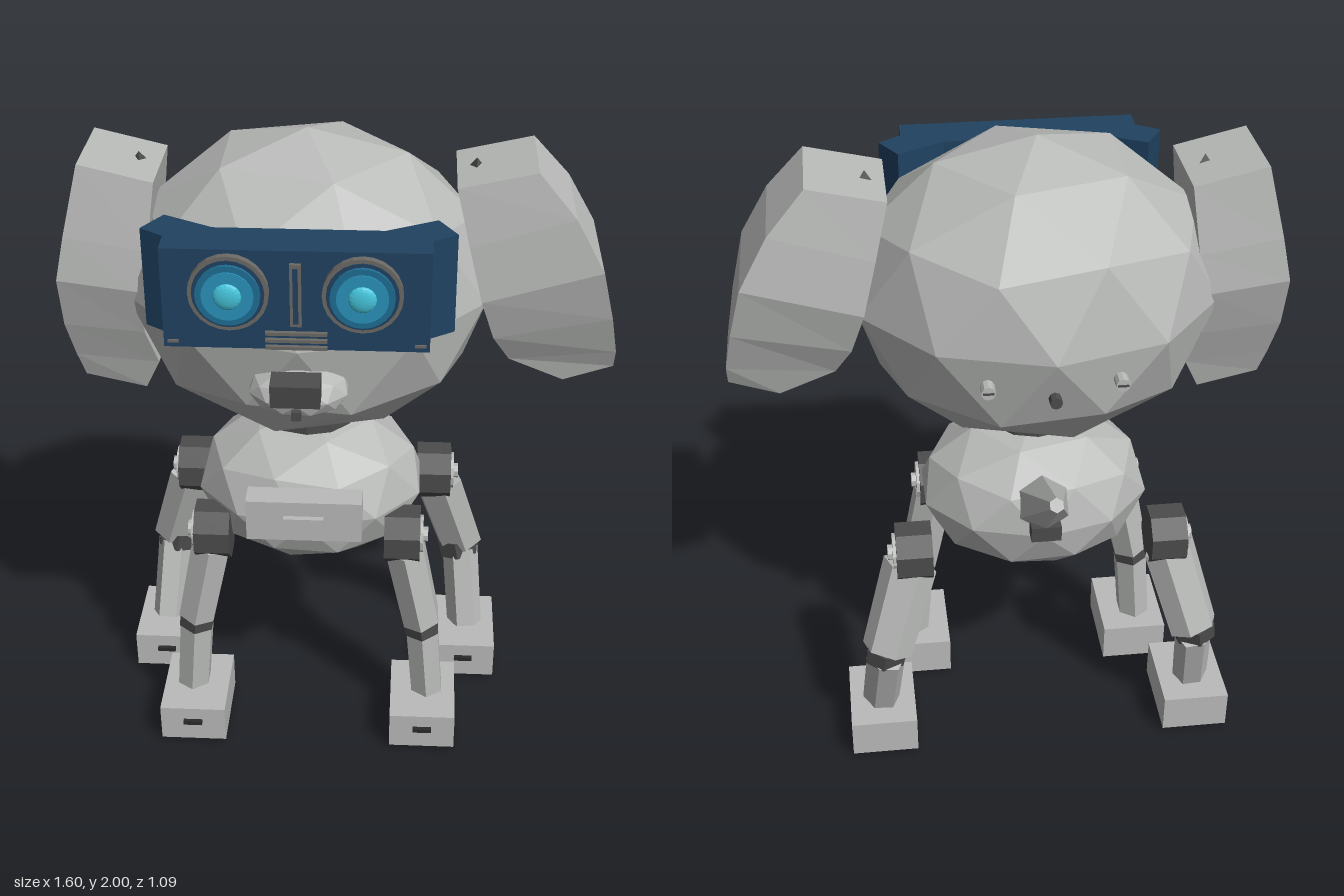
import * as THREE from 'three';

const mat = (name, color) => new THREE.MeshStandardMaterial({ name, color, flatShading: true });
const CX = -0.1; // the body sits a little to the right of the origin

export function createModel() {
  const shell = mat('light grey shell', 0xb9bbb9);
  const dark = mat('dark grey joint', 0x4c4c4c);
  const sole = mat('black rubber', 0x2a2a2a);
  const navy = mat('navy visor', 0x1f4261);
  const trim = mat('trim grey', 0x6d6a66);
  const deep = mat('deep blue iris', 0x1f6f96);
  const blue = mat('blue iris', 0x2b93bd);
  const cyan = mat('cyan pupil', 0x45c6dc);

  const root = new THREE.Group();
  root.name = 'robotDog';
  const add = (name, geo, material, x = 0, y = 0, z = 0, parent = root) => {
    const m = new THREE.Mesh(geo, material);
    m.name = name;
    m.position.set(x, y, z);
    parent.add(m);
    return m;
  };
  const box = (name, m, w, h, d, x, y, z, parent) =>
    add(name, new THREE.BoxGeometry(w, h, d), m, x, y, z, parent);

  // Pole-up icosphere with 80 faces
  const icosphere = (rx, ry, rz) => {
    const v = [0, 1, 0], f = [];
    for (let ring = 0; ring < 2; ring++)
      for (let k = 0; k < 5; k++) {
        const a = (k + ring / 2) * Math.PI * 0.4;
        v.push(0.8944 * Math.cos(a), ring ? -0.4472 : 0.4472, 0.8944 * Math.sin(a));
      }
    v.push(0, -1, 0);
    for (let k = 0; k < 5; k++) {
      const n = (k + 1) % 5;
      f.push(0, 1 + n, 1 + k, 1 + k, 1 + n, 6 + k, 6 + n, 6 + k, 1 + n, 6 + k, 6 + n, 11);
    }
    return new THREE.PolyhedronGeometry(v, f, 1, 1).scale(rx, ry, rz);
  };

  // Tapered prism running from a to b
  const strut = (name, a, b, ra, rb, sides, m, sx = 1, parent = root) => {
    const A = new THREE.Vector3(...a), B = new THREE.Vector3(...b);
    const dir = B.clone().sub(A);
    const geo = new THREE.CylinderGeometry(rb, ra, dir.length(), sides).scale(sx, 1, 1);
    const mesh = add(name, geo, m, 0, 0, 0, parent);
    mesh.position.copy(A).add(B).multiplyScalar(0.5);
    mesh.quaternion.setFromUnitVectors(new THREE.Vector3(0, 1, 0), dir.normalize());
    return mesh;
  };
  const disc = (name, m, r, h, x, y, z, sides = 24, parent) =>
    add(name, new THREE.CylinderGeometry(r, r, h, sides).rotateX(Math.PI / 2), m, x, y, z, parent);

  // Head, neck and body
  add('head', icosphere(0.54, 0.46, 0.465), shell, CX, 1.54, -0.02);
  add('neck', new THREE.CylinderGeometry(0.145, 0.145, 0.03, 12), dark, CX, 1.105, -0.01);
  add('neckPost', new THREE.CylinderGeometry(0.08, 0.08, 0.08, 12), dark, CX, 1.08, -0.01);
  add('body', icosphere(0.36, 0.25, 0.295), shell, CX, 0.842, -0.03);

  // Chest panel
  box('chestPanel', shell, 0.345, 0.135, 0.08, CX, 0.894, 0.27);
  box('chestHandle', shell, 0.12, 0.04, 0.02, CX, 0.894, 0.318);

  // Visor with swept-back wings
  const half = [[0.355, 0.452], [0.355, 0.375], [0.422, 0.33], [0.37, 0.24], [0.23, 0.315]];
  const outline = [...half, ...half.slice().reverse().map(([x, z]) => [-x, z])];
  const visorGeo = new THREE.ExtrudeGeometry(
    new THREE.Shape(outline.map(([x, z]) => new THREE.Vector2(x, -z))),
    { depth: 0.287, bevelEnabled: false }).rotateX(-Math.PI / 2);
  const vp = visorGeo.attributes.position;
  for (let i = 0; i < vp.count; i++) // cut the lower rear corners away
    if (vp.getZ(i) < 0.26 && vp.getY(i) < 0.01) vp.setY(i, 0.135);
  add('visor', visorGeo, navy, CX, 1.557, 0);

  // Eyes
  for (const s of [-1, 1]) {
    const eye = new THREE.Group();
    eye.name = s > 0 ? 'leftEye' : 'rightEye';
    eye.position.set(CX + s * 0.176, 1.727, 0.452);
    root.add(eye);
    disc('eyeRim', trim, 0.107, 0.02, 0, 0, 0.01, 24, eye);
    disc('eyeSocket', navy, 0.096, 0.02, 0, 0, 0.013, 24, eye);
    disc('outerIris', deep, 0.086, 0.03, 0, 0, 0.018, 24, eye);
    disc('innerIris', blue, 0.069, 0.03, 0, 0, 0.022, 24, eye);
    const lens = new THREE.SphereGeometry(0.038, 16, 6, 0, Math.PI * 2, 0, Math.PI / 2);
    add('pupil', lens.rotateX(Math.PI / 2).scale(1, 1, 0.35), cyan, 0, 0, 0.036, eye);
    box('visorSlot', trim, 0.03, 0.008, 0.006, CX + s * 0.33, 1.575, 0.453);
  }

  // Visor centre bar and vents
  box('barFrame', trim, 0.03, 0.18, 0.016, CX, 1.72, 0.456);
  box('barInset', navy, 0.014, 0.16, 0.016, CX, 1.72, 0.459);
  for (let i = 0; i < 3; i++)
    box('vent', trim, 0.165, 0.009, 0.016, CX, 1.607 - i * 0.021, 0.456);

  // Muzzle, nose and mouth
  add('muzzle', icosphere(0.142, 0.072, 0.105), shell, CX, 1.408, 0.4);
  box('nose', dark, 0.134, 0.07, 0.07, CX, 1.463, 0.508).rotation.x = 0.12;
  box('mouth', dark, 0.026, 0.026, 0.03, CX, 1.385, 0.503);

  // Ears lofted from rows of [outer x, outer y, inner x, inner y, half depth]
  const ear = (name, side, rows) => {
    const pos = [], idx = [];
    for (const [ox, oy, ix, iy, h] of rows)
      for (const [x, y, z] of [[ox, oy, h], [ox, oy, -h], [ix, iy, -h], [ix, iy, h]])
        pos.push(x, y, z * side);
    for (let r = 0; r < rows.length - 1; r++)
      for (let j = 0; j < 4; j++) {
        const a = r * 4 + j, b = r * 4 + (j + 1) % 4;
        idx.push(a, a + 4, b + 4, a, b + 4, b);
      }
    const e = rows.length * 4 - 4;
    idx.push(0, 1, 2, 0, 2, 3, e, e + 2, e + 1, e, e + 3, e + 2);
    const g = new THREE.BufferGeometry();
    g.setAttribute('position', new THREE.Float32BufferAttribute(pos, 3));
    g.setIndex(idx);
    g.computeVertexNormals();
    add(name, g, shell, 0, 0, -0.017);
  };
  ear('leftEar', 1, [
    [0.54, 1.935, 0.32, 1.885, 0.14], [0.65, 1.81, 0.36, 1.72, 0.165], [0.735, 1.66, 0.4, 1.56, 0.182],
    [0.775, 1.5, 0.44, 1.43, 0.145], [0.8, 1.37, 0.49, 1.34, 0.1], [0.8, 1.31, 0.655, 1.26, 0.075]]);
  ear('rightEar', -1, [
    [-0.725, 1.935, -0.515, 1.885, 0.14], [-0.775, 1.73, -0.54, 1.69, 0.17], [-0.803, 1.6, -0.57, 1.57, 0.182],
    [-0.803, 1.44, -0.57, 1.42, 0.14], [-0.785, 1.32, -0.54, 1.3, 0.1], [-0.767, 1.24, -0.587, 1.2, 0.075]]);
  for (const s of [-1, 1])
    add('earPin', new THREE.ConeGeometry(0.025, 0.03, 3), dark, CX + s * 0.475, 1.905, -0.02);

  // Bolts on the back of the head
  for (const s of [-1, 1]) {
    disc('headBolt', shell, 0.02, 0.04, CX + s * 0.183, 1.46, -0.452, 10);
    box('boltSlot', dark, 0.03, 0.006, 0.004, CX + s * 0.183, 1.46, -0.473);
  }
  disc('headPort', dark, 0.018, 0.03, CX, 1.42, -0.465, 8);

  // Tail
  strut('tail', [CX, 0.93, -0.27], [CX, 1.115, -0.53], 0.085, 0.022, 6, shell);
  box('tailSocket', dark, 0.09, 0.05, 0.06, CX, 0.875, -0.325);

  // Legs: hip, knee, ankle as [sideways, up, forward], then foot centre
  const legs = [
    ['front', [0.293, 0.745, 0.145], [0.362, 0.41, 0.145], [0.385, 0.13, 0.145], [0.372, 0.167]],
    ['rear', [0.39, 0.745, -0.222], [0.49, 0.41, -0.295], [0.515, 0.13, -0.205], [0.51, -0.197]],
  ];
  for (const [end, hip, knee, ankle, foot] of legs)
    for (const s of [-1, 1]) {
      const leg = new THREE.Group();
      leg.name = end + (s > 0 ? 'LeftLeg' : 'RightLeg');
      leg.position.x = CX;
      root.add(leg);
      const at = ([x, y, z]) => [x * s, y, z];
      const mix = (a, b, t) => at(a.map((v, i) => v + (b[i] - v) * t));
      const cap = (name, m, r, w, x, sides) =>
        add(name, new THREE.CylinderGeometry(r, r, w, sides).rotateZ(Math.PI / 2).rotateX(Math.PI / 8),
          m, s * x, hip[1], hip[2], leg);
      cap('hipCap', dark, 0.092, 0.11, hip[0], 8);
      cap('hipDisc', shell, 0.06, 0.03, hip[0] + 0.05, 12);
      cap('hipBolt', shell, 0.024, 0.03, hip[0] + 0.065, 8);
      strut('upperLeg', mix(hip, knee, 0.13), mix(hip, knee, 0.98), 0.085, 0.08, 6, shell, 0.8, leg);
      strut('knee', mix(hip, knee, 0.93), mix(knee, ankle, 0.13), 0.074, 0.07, 6, dark, 0.85, leg);
      strut('lowerLeg', mix(knee, ankle, 0.07), at(ankle), 0.068, 0.066, 6, shell, 0.85, leg);
      const [fx, fz] = [foot[0] * s, foot[1]];
      box('foot', shell, 0.21, 0.125, 0.278, fx, 0.0745, fz, leg);
      box('sole', sole, 0.18, 0.014, 0.245, fx, 0.007, fz, leg);
      box('footSlot', sole, 0.06, 0.014, 0.016, fx, 0.087, fz + 0.144, leg);
    }

  return root;
}
